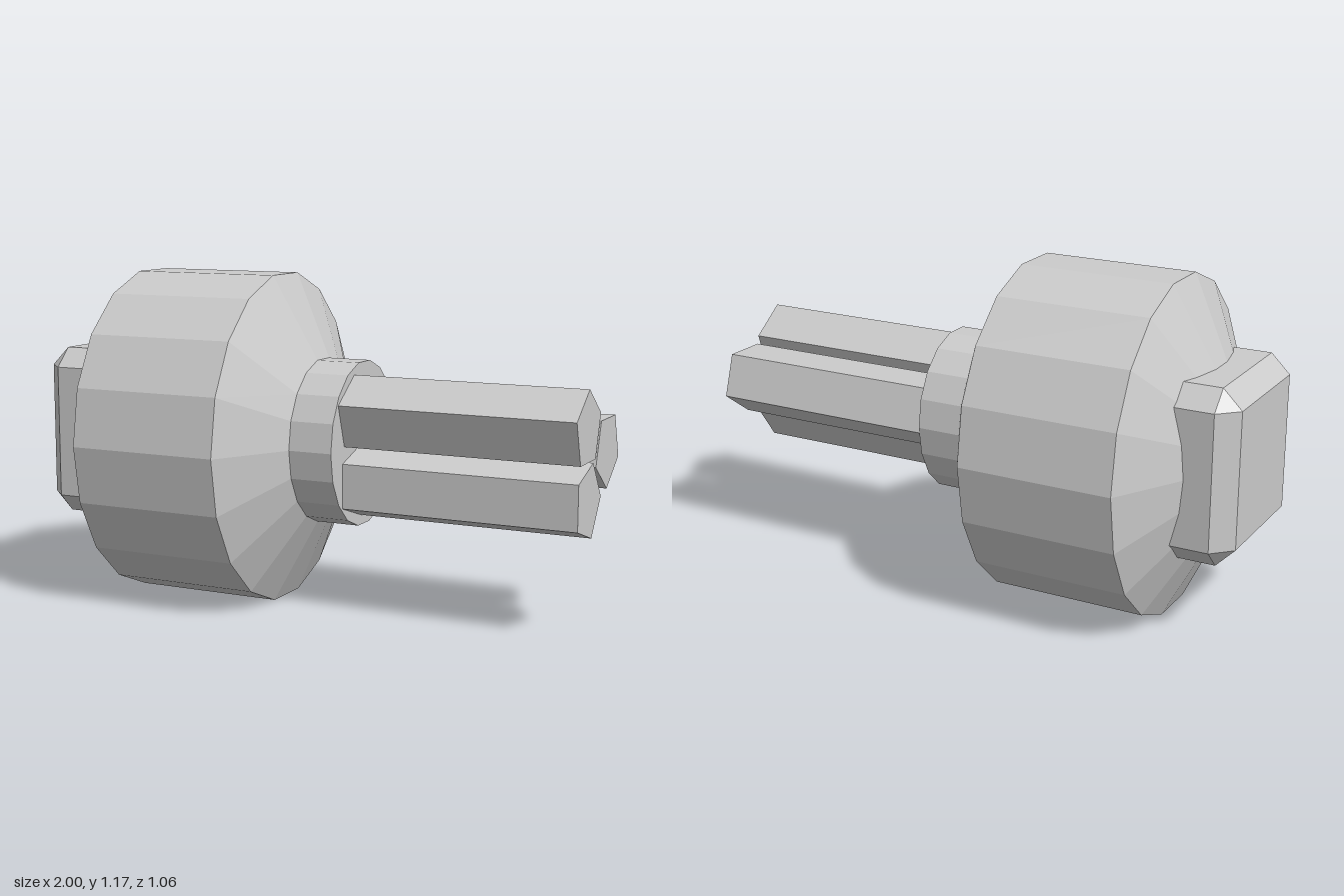
import * as THREE from 'three';
import { ConvexGeometry } from 'three/addons/geometries/ConvexGeometry.js';

const CENTRE_Y = 0.5835;

export function createModel() {
  const group = new THREE.Group();
  const material = new THREE.MeshStandardMaterial({ color: 0xcccccc, flatShading: true });
  const add = (name, geometry, x, y, z) => {
    const mesh = new THREE.Mesh(geometry, material);
    mesh.name = name;
    mesh.position.set(x, y, z);
    group.add(mesh);
  };

  // Slightly oval 18-sided body with tapered ends and a short collar, lying along x
  const profile = [
    [0, -0.85], [0.494, -0.85], [1, -0.7], [1, -0.15],
    [0.494, 0], [0.494, 0.16], [0, 0.16],
  ].map(([r, x]) => new THREE.Vector2(r, x));
  const body = new THREE.LatheGeometry(profile, 18);
  body.rotateZ(-Math.PI / 2);
  body.scale(1, 0.5915, 0.532);
  add('body', body, 0, CENTRE_Y, 0);

  // Bevelled block on the rear end: hull of three boxes, each full size along one axis
  const half = [0.15, 0.303, 0.285];
  const bevel = 0.067;
  const corners = [];
  for (let axis = 0; axis < 3; axis++) {
    const h = half.map((v, i) => (i === axis ? v : v - bevel));
    for (const sx of [-1, 1]) for (const sy of [-1, 1]) for (const sz of [-1, 1]) {
      corners.push(new THREE.Vector3(sx * h[0], sy * h[1], sz * h[2]));
    }
  }
  add('endBlock', new ConvexGeometry(corners), -0.85, CENTRE_Y + 0.003, 0);

  // Three pentagonal prongs: y, z and turn about the long axis
  const prongs = [
    [0.7, 0.08, -Math.PI / 2],
    [0.604, -0.132, Math.PI / 2],
    [0.457, 0.065, Math.PI],
  ];
  for (const [y, z, turn] of prongs) {
    const prong = new THREE.CylinderGeometry(0.133, 0.133, 0.86, 5);
    prong.rotateZ(-Math.PI / 2);
    prong.rotateX(turn);
    add('prong', prong, 0.57, y, z);
  }

  return group;
}
